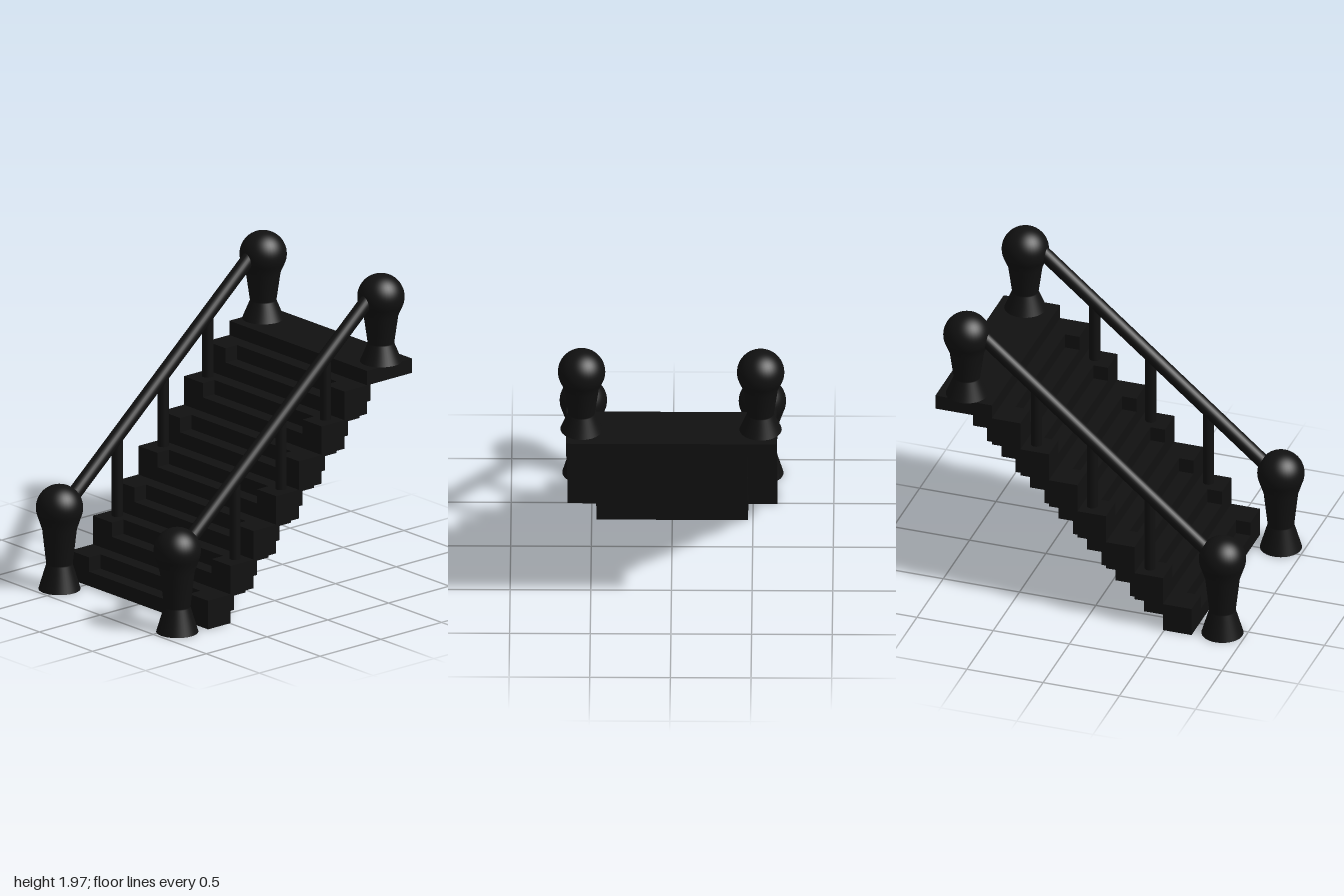
import * as THREE from 'three';

const material = new THREE.MeshStandardMaterial({ color: 0x111111 });

export function createModel() {
  const model = new THREE.Group();
  model.name = 'staircase';

  const add = (name, geometry, x, y, z) => {
    const mesh = new THREE.Mesh(geometry, material);
    mesh.name = name;
    mesh.position.set(x, y, z);
    model.add(mesh);
    return mesh;
  };

  // Box given by its extents
  const block = (name, x0, x1, y0, y1, z0, z1) =>
    add(name, new THREE.BoxGeometry(x1 - x0, y1 - y0, z1 - z0),
      (x0 + x1) / 2, (y0 + y1) / 2, (z0 + z1) / 2);

  const rise = 1.4 / 15, run = 1.31 / 14, front = 0.68, depth = 0.373;
  const inner = 0.47, outer = 0.65, postX = 0.555;

  // Narrow treads between the side blocks
  for (let i = 0; i < 14; i++) {
    const z = front - i * run;
    block('tread', -inner, inner, i * rise, (i + 1) * rise, Math.max(z - depth, -0.815), z);
  }

  // Top landing
  block('landing', -outer, outer, 14 * rise, 15 * rise, -1, front - 14 * run);

  // Newel post: flared foot, waist, shoulder and ball in one turned profile
  const newelPost = (foot, neckY, shoulderY, ballY) => {
    const radius = 0.147;
    const curve = (r0, y0, r1, y1) => [[r0, y0], [r1, y1]].map(p => new THREE.Vector2(...p));
    const points = [
      new THREE.Vector2(0, 0),
      ...curve(0.131, 0, 0.131, 0),
      ...curve(0.083, neckY - 0.004, 0.083, neckY + 0.004),
      new THREE.Vector2(0.108, shoulderY),
    ];
    for (let i = 0; i <= 20; i++) {
      const a = THREE.MathUtils.lerp(-0.4, Math.PI / 2, i / 20);
      points.push(new THREE.Vector2(Math.max(radius * Math.cos(a), 0), ballY + radius * Math.sin(a)));
    }
    return new THREE.LatheGeometry(points, 40);
  };
  const lowerPost = newelPost(0, 0.165, 0.39, 0.53);
  const upperPost = newelPost(0, 0.12, 0.3, 0.42);

  // Handrail axis
  const railY = z => 0.6 + 0.85 * (0.72 - z);
  const railFrom = 0.82, railTo = -0.8;
  const railLength = Math.hypot(railFrom - railTo, railY(railTo) - railY(railFrom));
  const railGeometry = new THREE.CylinderGeometry(0.045, 0.045, railLength, 24);

  for (const side of [-1, 1]) {
    // Large stepped blocks, each two treads high
    for (let k = 0; k < 7; k++) {
      const z = front - 2 * k * run;
      const x = [side * inner, side * outer].sort((a, b) => a - b);
      block('sideBlock', x[0], x[1], 2 * k * rise, 2 * (k + 1) * rise, z - 2 * run, z);
    }

    add('lowerNewelPost', lowerPost, side * postX, 0, 0.85);
    add('upperNewelPost', upperPost, side * postX, 1.4, -0.826);

    const rail = add('handrail', railGeometry, side * postX,
      (railY(railFrom) + railY(railTo)) / 2, (railFrom + railTo) / 2);
    rail.rotation.x = -Math.atan2(railFrom - railTo, railY(railTo) - railY(railFrom));

    // Balusters standing on every second side block
    [0.375, -0.003, -0.37].forEach((z, i) => {
      const bottom = (4 + 4 * i) * rise;
      const height = railY(z) - bottom;
      add('baluster', new THREE.CylinderGeometry(0.035, 0.035, height, 20),
        side * postX, bottom + height / 2, z);
    });
  }

  return model;
}
